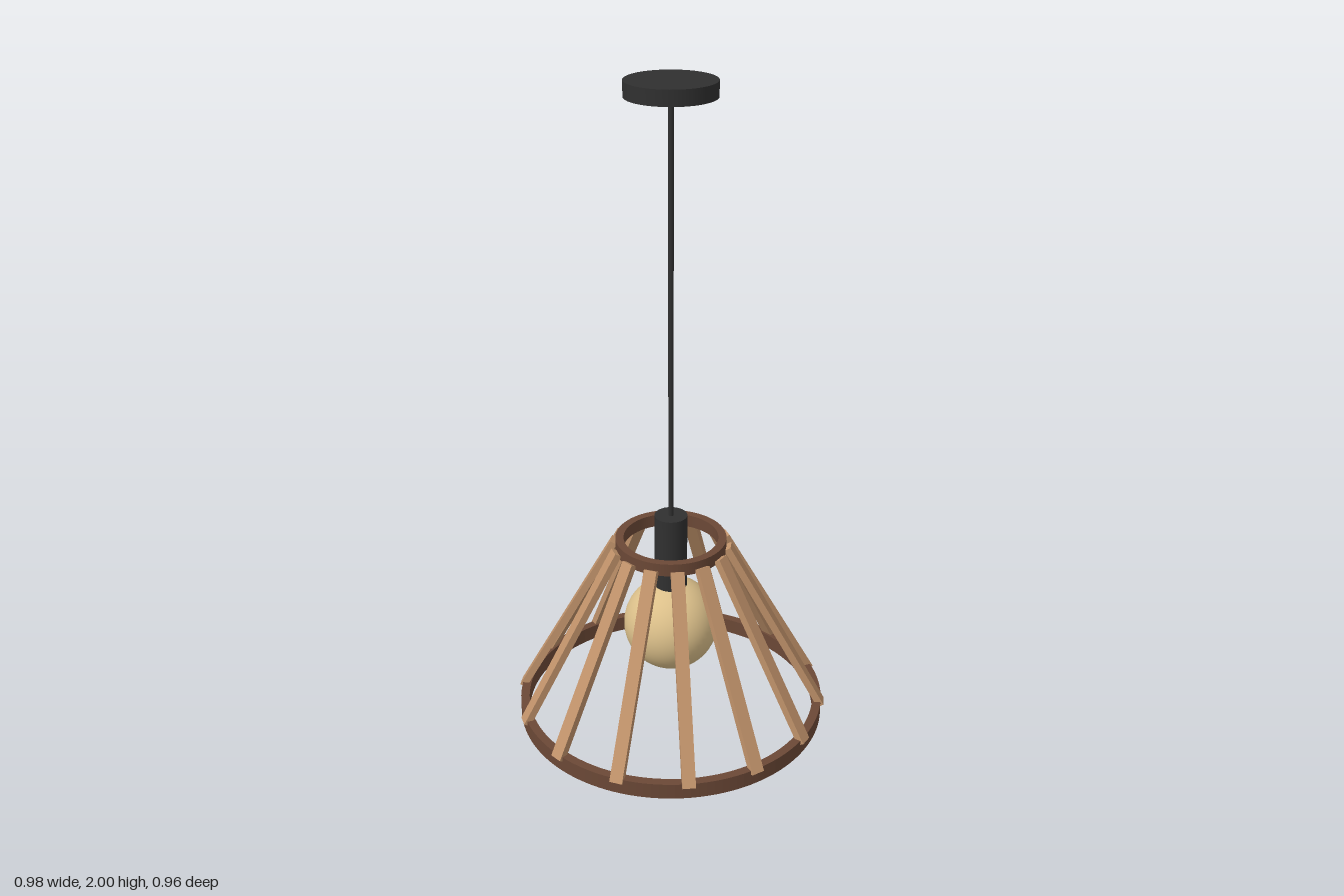
import * as THREE from 'three';

export function createModel() {
  const group = new THREE.Group();
  const material = (name, color) => {
    const m = new THREE.MeshStandardMaterial({ color });
    m.name = name;
    return m;
  };
  const black = material('matte black', 0x303030);
  const darkWood = material('dark wood', 0x6b4836);
  const lightWood = material('light wood', 0xc0926a);
  const glass = material('warm glass', 0xdcc08a);

  const add = (name, geometry, mat, y = 0, parent = group) => {
    const mesh = new THREE.Mesh(geometry, mat);
    mesh.name = name;
    mesh.position.y = y;
    parent.add(mesh);
    return mesh;
  };
  // Upright cylinder between two heights
  const rod = (name, radius, y0, y1, sides) =>
    add(name, new THREE.CylinderGeometry(radius, radius, y1 - y0, sides), black, (y0 + y1) / 2);

  // Flat hoop with a rectangular section
  const hoop = (name, outer, inner, y, height) => {
    const shape = new THREE.Shape().absarc(0, 0, outer, 0, Math.PI * 2);
    shape.holes.push(new THREE.Path().absarc(0, 0, inner, 0, Math.PI * 2, true));
    const geometry = new THREE.ExtrudeGeometry(shape, { depth: height, bevelEnabled: false, curveSegments: 64 });
    geometry.rotateX(-Math.PI / 2);
    add(name, geometry, darkWood, y);
  };

  // Ceiling fitting, cord and bulb
  rod('ceilingCanopy', 0.13, 1.955, 2, 48);
  rod('cord', 0.008, 0.68, 1.96, 16);
  rod('bulbSocket', 0.05, 0.43, 0.685, 32);
  add('bulb', new THREE.SphereGeometry(0.147, 48, 32), glass, 0.305);

  // Shade hoops
  hoop('topHoop', 0.17, 0.145, 0.57, 0.04);
  hoop('bottomHoop', 0.48, 0.453, 0, 0.05);

  // Sloping slats around the shade
  const slats = new THREE.Group();
  slats.name = 'slats';
  group.add(slats);
  const top = new THREE.Vector2(0.175, 0.587), bottom = new THREE.Vector2(0.48, 0.036);
  const slatGeometry = new THREE.BoxGeometry(0.022, top.distanceTo(bottom), 0.04);
  slatGeometry.rotateZ(Math.atan2(bottom.x - top.x, top.y - bottom.y));
  slatGeometry.translate((top.x + bottom.x) / 2, (top.y + bottom.y) / 2, 0);
  const count = 14;
  for (let i = 0; i < count; i++) {
    add('slat', slatGeometry, lightWood, 0, slats).rotation.y = (i / count) * Math.PI * 2;
  }
  return group;
}
